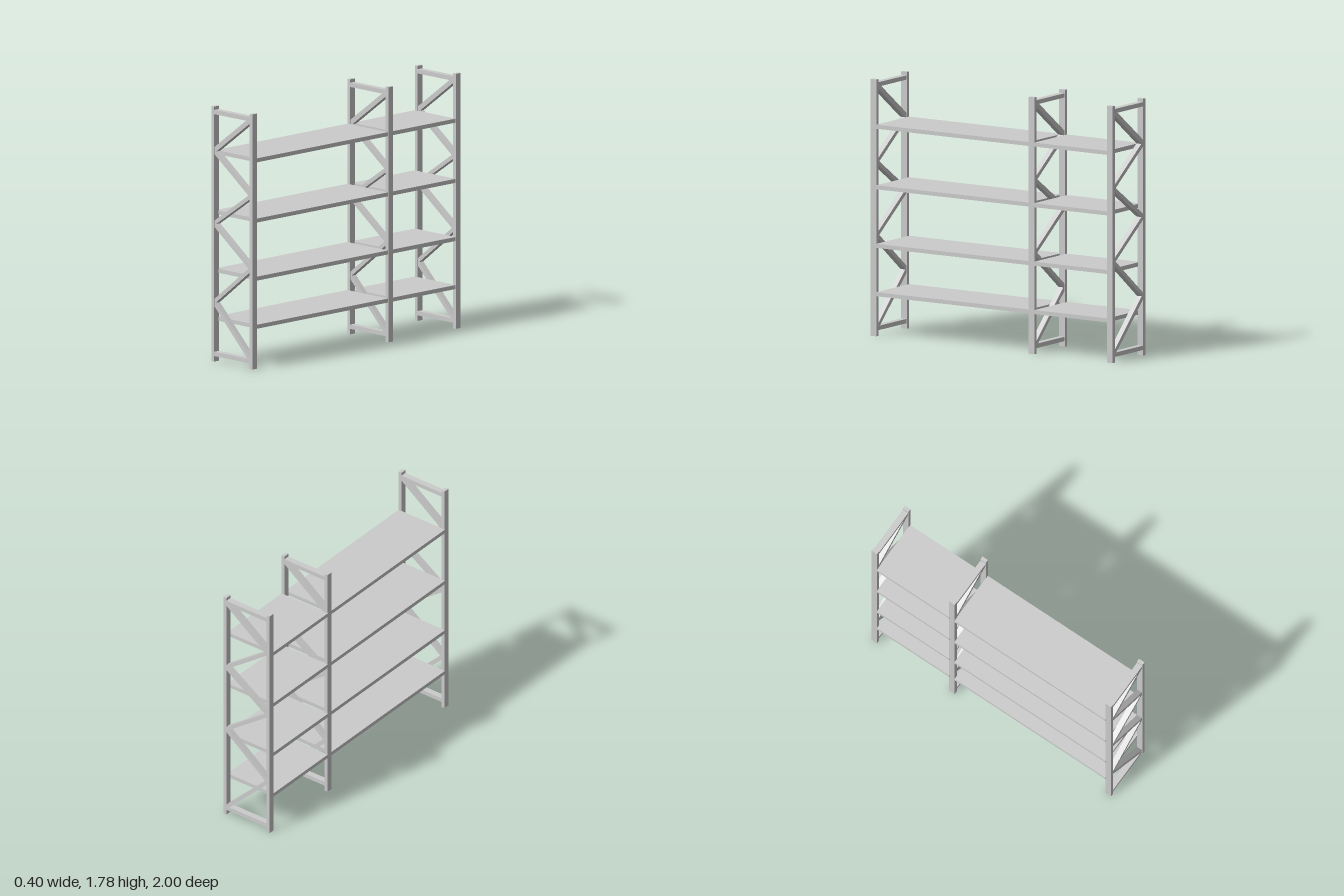
import * as THREE from 'three';

const material = new THREE.MeshStandardMaterial({ color: 0xcccccc, flatShading: true });
const HEIGHT = 1.785, HALF = 0.2, POST_W = 0.026, DEPTH = 0.046;

function box(name, parent, size, position) {
  const mesh = new THREE.Mesh(new THREE.BoxGeometry(...size), material);
  mesh.name = name;
  mesh.position.set(...position);
  parent.add(mesh);
  return mesh;
}

// Upright ladder frame: two posts, two rails and a zigzag of braces
function createFrame(z) {
  const frame = new THREE.Group();
  frame.name = 'uprightFrame';
  frame.position.z = z;

  for (const side of [-1, 1]) {
    box('post', frame, [POST_W, HEIGHT, DEPTH], [side * (HALF - POST_W / 2), HEIGHT / 2, 0]);
  }
  for (const y of [0.054, 1.747]) {
    box('rail', frame, [2 * (HALF - POST_W), 0.03, DEPTH - 0.002], [0, y, 0]);
  }

  // Zigzag nodes alternate between the two posts, from bottom to top
  const nodes = [0.055, 0.415, 0.7, 0.965, 1.21, 1.475, 1.745];
  for (let i = 0; i < nodes.length - 1; i++) {
    const dx = (i % 2 === 0 ? -1 : 1) * 0.364;
    const dy = nodes[i + 1] - nodes[i];
    const brace = box('diagonalBrace', frame,
      [Math.hypot(dx, dy), i === 5 ? 0.034 : 0.028, DEPTH - 0.006],
      [0, (nodes[i] + nodes[i + 1]) / 2, 0]);
    brace.rotation.z = Math.atan(dy / dx);
  }
  return frame;
}

export function createModel() {
  const rack = new THREE.Group();
  rack.name = 'shelvingRack';

  const frames = [1 - DEPTH / 2, -0.329, -1 + DEPTH / 2];
  frames.forEach((z) => rack.add(createFrame(z)));

  // Shelf boards spanning each bay between neighbouring frames
  for (const y of [0.293, 0.629, 1.036, 1.457]) {
    for (let i = 0; i < frames.length - 1; i++) {
      const length = frames[i] - frames[i + 1] - DEPTH + 0.004;
      box('shelf', rack, [0.4, 0.028, length], [-0.002, y, (frames[i] + frames[i + 1]) / 2]);
    }
  }
  return rack;
}
